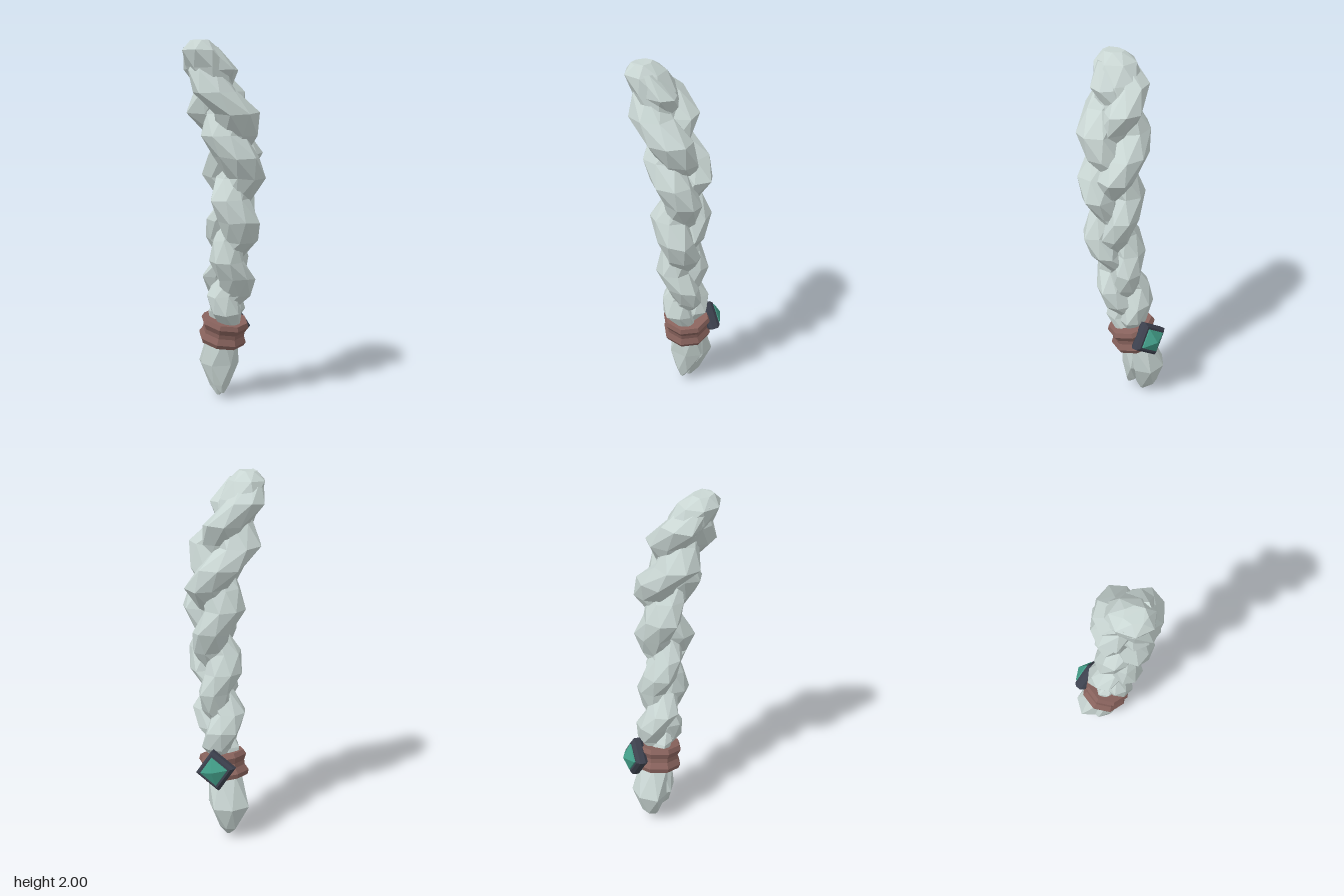
import * as THREE from 'three';

const mat = (name, color) => new THREE.MeshStandardMaterial({ name, color });

// Split faces so every facet gets its own normal
function faceted(geo) {
  const g = geo.index ? geo.toNonIndexed() : geo;
  g.deleteAttribute('normal');
  g.computeVertexNormals();
  return g;
}

// Small repeatable wobble in -1..1
const wobble = (n) => {
  const s = Math.sin(n * 127.1 + 11.7) * 43758.5453;
  return 2 * (s - Math.floor(s)) - 1;
};

// Linear lookup in rows of [key, value, value...]
function lookup(rows, key) {
  let i = 0;
  while (i < rows.length - 2 && key > rows[i + 1][0]) i++;
  const a = rows[i], b = rows[i + 1];
  const t = (key - a[0]) / (b[0] - a[0]);
  return a.slice(1).map((v, k) => v + (b[k + 1] - v) * t);
}

// Solid lock from rings {x, y, z, rx, rz}, listed from bottom to top
function lock(rings, sides, seed, rough) {
  const pos = [], idx = [];
  rings.forEach((r, i) => {
    for (let j = 0; j < sides; j++) {
      const a = ((j + (i % 2) * 0.5) / sides) * Math.PI * 2 + seed;
      const k = 1 + rough * wobble(seed * 31 + i * 7 + j);
      pos.push(r.x + Math.cos(a) * r.rx * k,
        r.y + rough * 0.08 * wobble(seed * 17 + i * 5 + j * 3),
        r.z + Math.sin(a) * r.rz * k);
    }
  });
  for (let i = 0; i < rings.length - 1; i++) {
    for (let j = 0; j < sides; j++) {
      const n = (j + 1) % sides;
      const a = i * sides + j, b = i * sides + n;
      const c = a + sides, d = b + sides;
      // the half-step twist decides which diagonal is shorter
      if (i % 2) idx.push(a, d, b, a, c, d);
      else idx.push(a, c, b, b, c, d);
    }
  }
  // end caps
  const top = (rings.length - 1) * sides;
  for (let j = 1; j < sides - 1; j++) {
    idx.push(0, j, j + 1, top, top + j + 1, top + j);
  }
  const g = new THREE.BufferGeometry();
  g.setAttribute('position', new THREE.Float32BufferAttribute(pos, 3));
  g.setIndex(idx);
  return faceted(g);
}

// Height, centre x, centre z, thickness
const spine = [
  [0.42, 0.025, -0.05, 0.5], [0.50, 0.03, -0.035, 0.78], [0.65, 0.04, -0.025, 0.88],
  [0.85, 0.04, 0.015, 0.87], [1.05, 0.06, 0.045, 0.97], [1.25, 0.06, 0.04, 0.98],
  [1.40, 0.065, 0.045, 1.1], [1.60, 0.0, 0.06, 1.18], [1.80, -0.055, 0.055, 1.06],
  [1.90, -0.1, 0.08, 0.84], [1.97, -0.125, 0.1, 0.5],
];
// Crossing number and its height: crossings get longer towards the top
const crossings = [[-0.25, 0.42], [0, 0.48], [1, 0.75], [2, 1.05], [3, 1.37], [4, 1.68], [5, 1.99]];

function strandRings(i) {
  const rings = [];
  const steps = 14;
  for (let n = 0; n <= steps; n++) {
    const u = -0.25 + (5.15 * n) / steps;
    const [y] = lookup(crossings, u);
    const [cx, cz, s] = lookup(spine, y);
    const th = (u / 3 + i / 3) * Math.PI * 2 + Math.PI / 2;
    const outer = Math.abs(Math.sin(th));
    const r = s * (0.076 + 0.021 * outer);
    rings.push({
      x: cx + 0.05 * s * Math.sin(2 * th) + 0.012 * s * Math.sin(th),
      y,
      z: cz + 0.073 * s * Math.sin(th),
      rx: r * 1.16, rz: r,
    });
  }
  return rings;
}

export function createModel() {
  const hair = mat('pale grey hair', 0xc9d6d3);
  const leather = mat('brown leather', 0x89635d);
  const metal = mat('dark metal', 0x3c404d);
  const jewel = mat('green jewel', 0x429c87);

  const model = new THREE.Group();
  model.name = 'braid';
  const add = (parent, name, geo, m) => {
    const mesh = new THREE.Mesh(geo, m);
    mesh.name = name;
    parent.add(mesh);
    return mesh;
  };

  // Three woven strands
  for (let i = 0; i < 3; i++) {
    add(model, `strand${i + 1}`, lock(strandRings(i), 7, i + 0.4, 0.08), hair);
  }

  // Rounded end where the strands meet
  add(model, 'crown', lock([
    { x: -0.03, y: 1.7, z: 0.055, rx: 0.09, rz: 0.12 },
    { x: -0.085, y: 1.86, z: 0.075, rx: 0.115, rz: 0.135 },
    { x: -0.128, y: 1.95, z: 0.1, rx: 0.105, rz: 0.115 },
    { x: -0.135, y: 1.998, z: 0.115, rx: 0.05, rz: 0.06 },
  ], 7, 0.2, 0.05), hair);

  // Loose tuft below the band
  add(model, 'tuftBack', lock([
    { x: 0.0, y: 0.004, z: -0.11, rx: 0.012, rz: 0.012 },
    { x: 0.005, y: 0.06, z: -0.135, rx: 0.05, rz: 0.06 },
    { x: 0.005, y: 0.19, z: -0.15, rx: 0.112, rz: 0.092 },
    { x: 0.02, y: 0.36, z: -0.085, rx: 0.09, rz: 0.08 },
  ], 6, 0.5, 0.04), hair);
  add(model, 'tuftFront', lock([
    { x: 0.01, y: 0.04, z: -0.035, rx: 0.012, rz: 0.01 },
    { x: 0.005, y: 0.085, z: -0.06, rx: 0.05, rz: 0.052 },
    { x: 0.005, y: 0.2, z: -0.085, rx: 0.108, rz: 0.09 },
    { x: 0.02, y: 0.36, z: -0.07, rx: 0.09, rz: 0.075 },
  ], 6, 0.05, 0.04), hair);

  // Tilted band with a pinched middle
  const band = new THREE.Group();
  band.name = 'band';
  band.position.set(0.022, 0.4, -0.06);
  band.rotation.set(0.2, 0, -0.13);
  model.add(band);
  const v = (x, y) => new THREE.Vector2(x, y);
  const bandProfile = [v(0.07, -0.07), v(0.125, -0.07), v(0.136, -0.045), v(0.119, -0.012),
    v(0.119, 0.012), v(0.136, 0.045), v(0.125, 0.07), v(0.07, 0.07)];
  const ring = new THREE.LatheGeometry(bandProfile, 8, Math.PI / 8);
  add(band, 'bandRing', faceted(ring), leather);

  // Diamond-shaped clasp on the back
  const clasp = new THREE.Group();
  clasp.name = 'clasp';
  clasp.rotation.y = 2.65;
  band.add(clasp);
  const diamond = (pts) => faceted(new THREE.LatheGeometry(pts, 4).rotateX(Math.PI / 2));
  add(clasp, 'claspFrame', diamond([v(0, -0.034), v(0.094, -0.034), v(0.112, -0.016),
    v(0.112, 0.016), v(0.094, 0.034), v(0, 0.034)]), metal).position.z = 0.13;
  add(clasp, 'claspGem', diamond([v(0.078, 0), v(0.078, 0.01), v(0, 0.048)]), jewel)
    .position.z = 0.162;

  return model;
}
